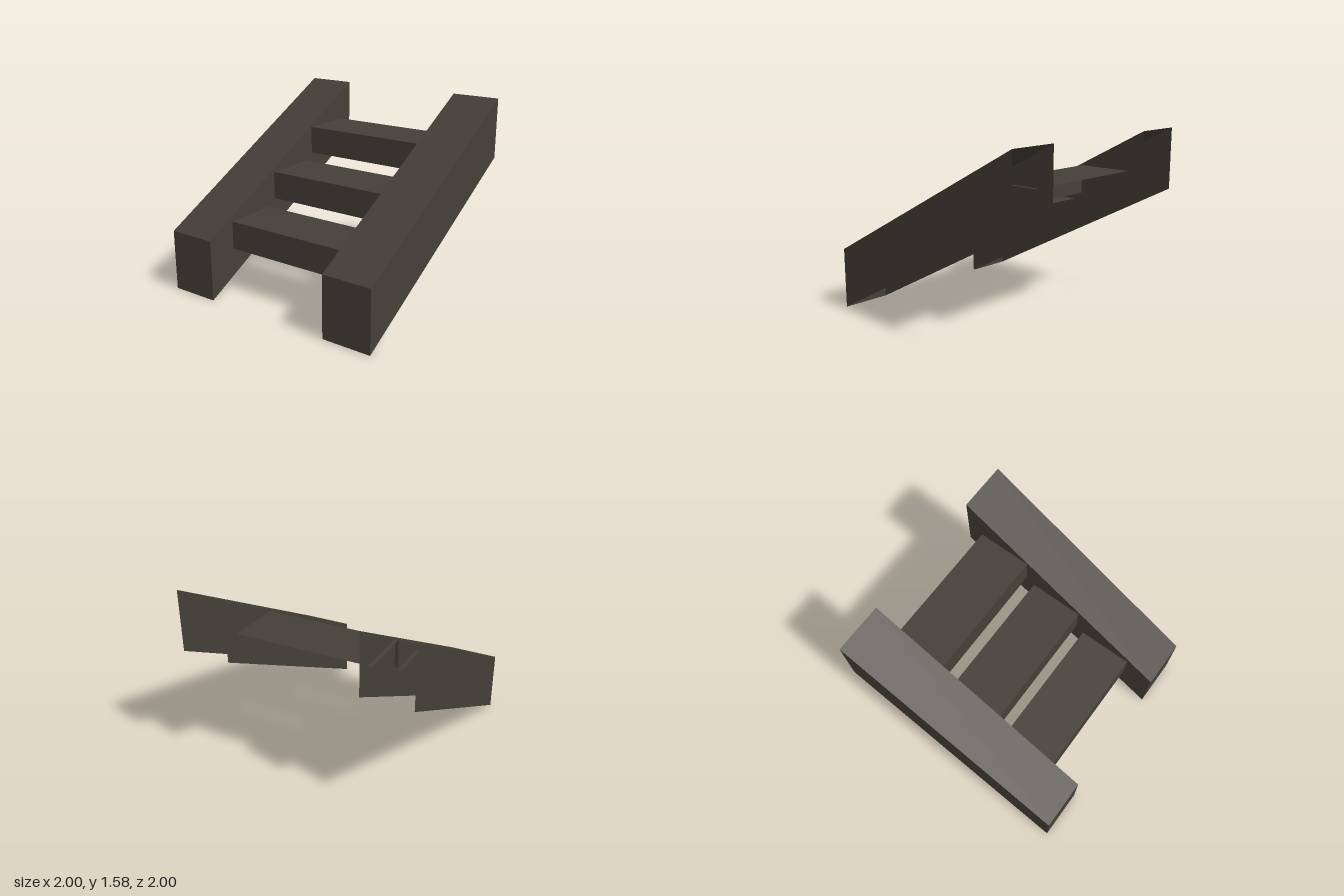
import * as THREE from 'three';

const darkWood = new THREE.MeshStandardMaterial({ color: 0x443f38, side: THREE.DoubleSide });
darkWood.name = 'darkWood';

// Flat four-sided panel, corners counter-clockwise from its outer side
function panel(name, a, b, c, d) {
  const g = new THREE.BufferGeometry();
  g.setAttribute('position', new THREE.Float32BufferAttribute([a, b, c, a, c, d].flat(), 3));
  g.computeVertexNormals();
  const mesh = new THREE.Mesh(g, darkWood);
  mesh.name = name;
  return mesh;
}

// Sloping stringer: a channel open underneath and at the back
function stringer(name, x0, x1) {
  const rise = 1.05, depth = 0.53;
  const group = new THREE.Group();
  group.name = name;
  const front = (x, y) => [x, y, 1];
  const back = (x, y) => [x, y + rise, -1];
  group.add(
    panel('stringerTop', front(x0, depth), front(x1, depth), back(x1, depth), back(x0, depth)),
    panel('stringerFront', front(x0, 0), front(x1, 0), front(x1, depth), front(x0, depth)),
    panel('stringerSideRight', back(x0, 0), front(x0, 0), front(x0, depth), back(x0, depth)),
    panel('stringerSideLeft', front(x1, 0), back(x1, 0), back(x1, depth), front(x1, depth)),
  );
  return group;
}

// Step: a horizontal tread and a vertical riser, ends poking through the stringers
function step(name, y, z) {
  const w = 0.6, height = 0.245, depth = 0.48;
  const group = new THREE.Group();
  group.name = name;
  group.add(
    panel('tread', [-w, y, z], [w, y, z], [w, y, z - depth], [-w, y, z - depth]),
    panel('riser', [-w, y - height, z], [w, y - height, z], [w, y, z], [-w, y, z]),
  );
  return group;
}

export function createModel() {
  const model = new THREE.Group();
  model.name = 'stairs';
  model.add(stringer('leftStringer', 0.57, 1), stringer('rightStringer', -1, -0.57));
  for (let i = 0; i < 3; i++) {
    model.add(step(`step${i + 1}`, 0.625 + i * 0.307, 0.73 - i * 0.555));
  }
  return model;
}
